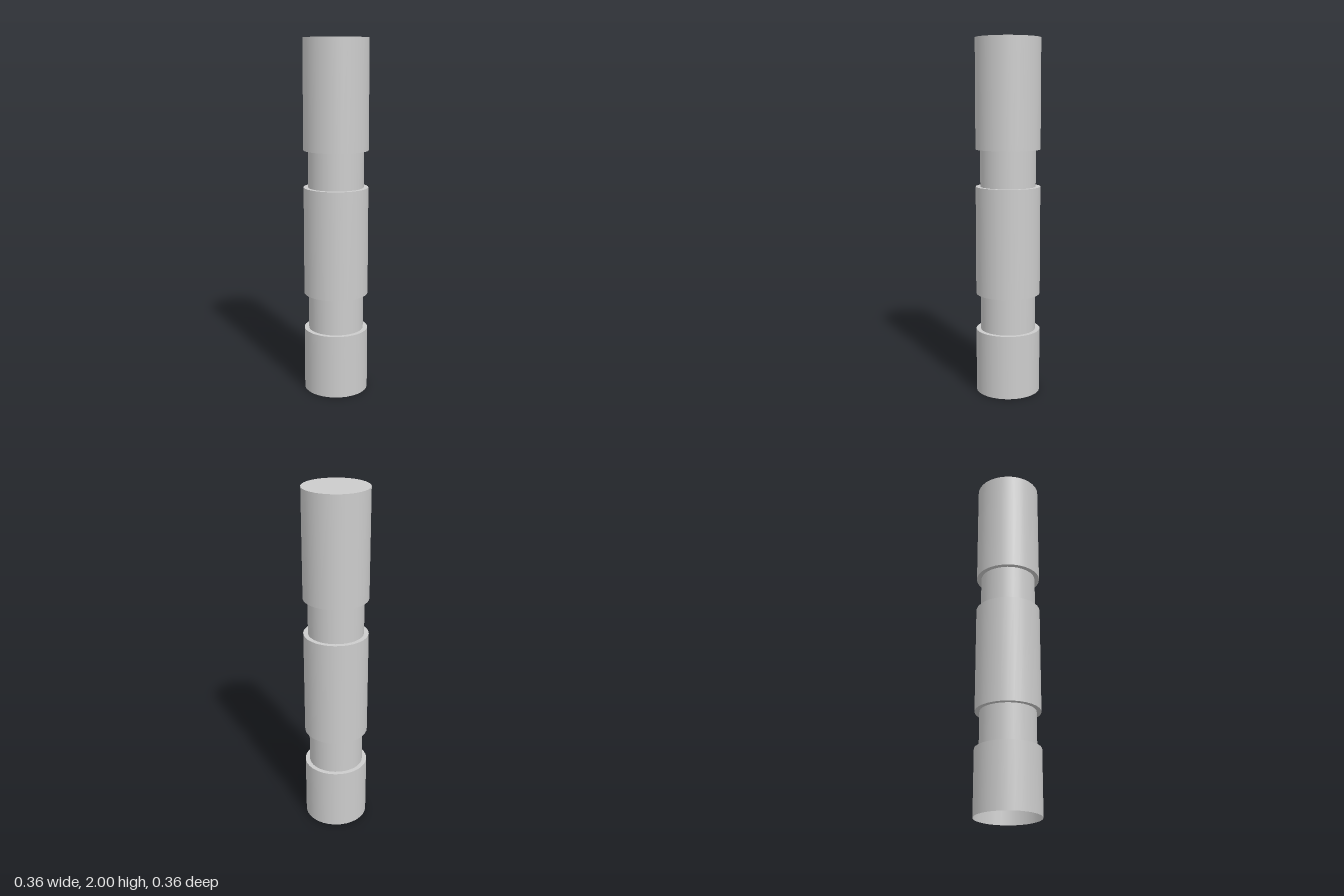
import * as THREE from 'three';

const SIDES = 32;
const WIDE = 0.182;
const NARROW = 0.156;

export function createModel() {
  const model = new THREE.Group();
  model.name = 'steppedColumn';
  const grey = new THREE.MeshStandardMaterial({ color: 0xcccccc, side: THREE.DoubleSide });
  grey.name = 'light grey';

  const add = (name, geometry, y) => {
    const mesh = new THREE.Mesh(geometry, grey);
    mesh.name = name;
    mesh.position.y = y;
    model.add(mesh);
  };

  // Hollow wall section between two heights
  const wall = (name, radius, y0, y1) =>
    add(name, new THREE.CylinderGeometry(radius, radius, y1 - y0, SIDES, 1, true), (y0 + y1) / 2);

  // Flat step between the wide and narrow sections
  const shoulder = (name, y, up) =>
    add(name, new THREE.RingGeometry(NARROW, WIDE, SIDES).rotateX(up ? -Math.PI / 2 : Math.PI / 2), y);

  // Wide sleeves and the narrow necks between them
  wall('lowerSleeve', WIDE, 0, 0.363);
  wall('lowerNeck', NARROW, 0.363, 0.572);
  wall('middleSleeve', WIDE, 0.572, 1.184);
  wall('upperNeck', NARROW, 1.184, 1.391);
  wall('upperSleeve', WIDE, 1.391, 2);

  shoulder('lowerSleeveShoulder', 0.363, true);
  shoulder('middleSleeveUnderside', 0.572, false);
  shoulder('middleSleeveShoulder', 1.184, true);
  shoulder('upperSleeveUnderside', 1.391, false);

  // Closed top; the bottom stays open
  add('topCap', new THREE.CircleGeometry(WIDE, SIDES).rotateX(-Math.PI / 2), 2);

  return model;
}
